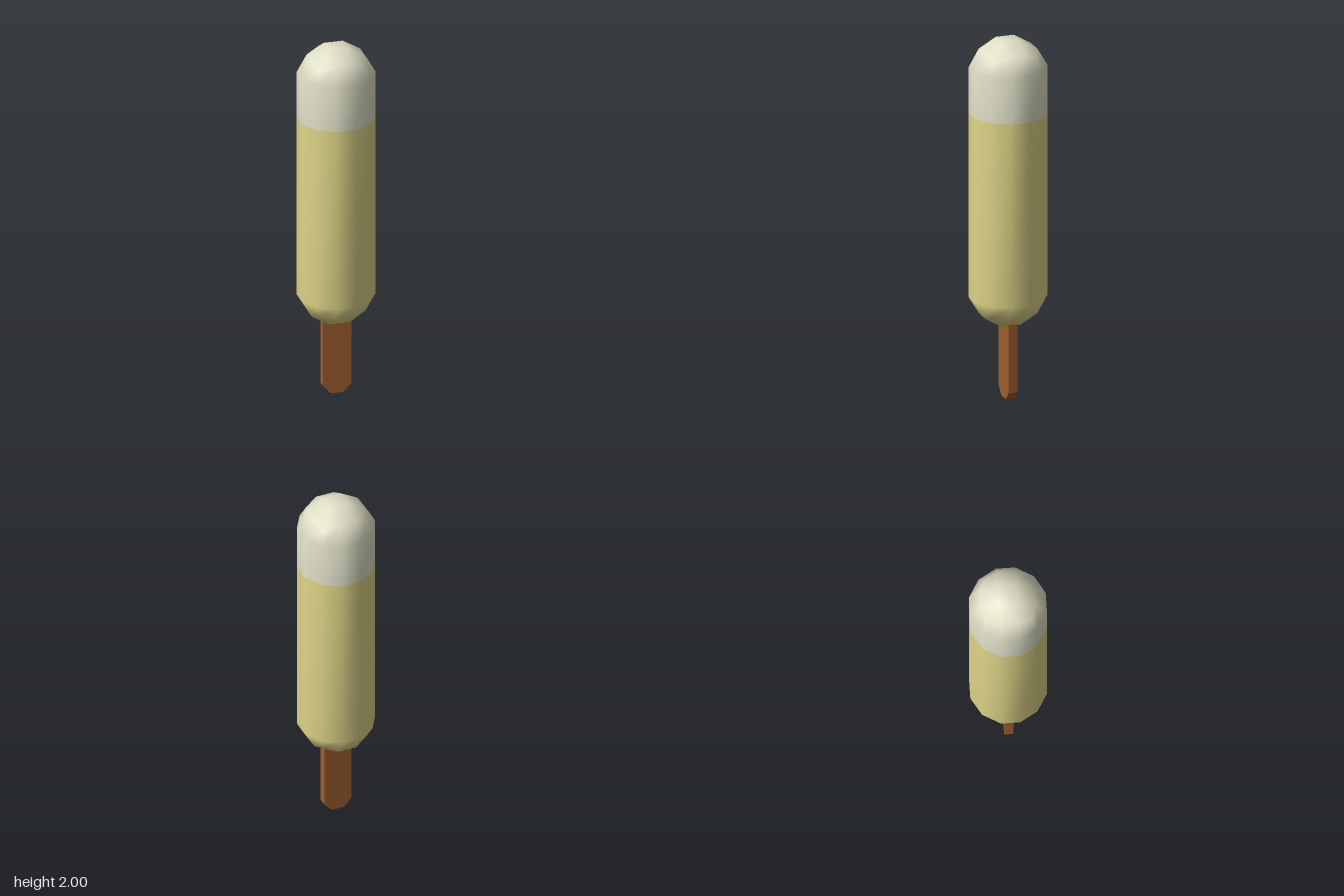
import * as THREE from 'three';
import { mergeVertices } from 'three/addons/utils/BufferGeometryUtils.js';

const mat = (name, color) => {
  const m = new THREE.MeshStandardMaterial({ color });
  m.name = name;
  return m;
};

const SPLIT = 1.59;        // height of the colour change
const TOP = 1.797;         // centre of the upper rounded end
const BOTTOM = 0.615;      // centre of the lower rounded end

// Twelve-sided bar with rounded quad-grid ends, made from a subdivided box
function barGeometry() {
  let geo = new THREE.BoxGeometry(2, 4, 2, 3, 4, 3);
  geo.deleteAttribute('normal');
  geo.deleteAttribute('uv');
  geo = mergeVertices(geo);
  const pos = geo.attributes.position;
  // distance from the axis by how many box faces the vertex lies on
  const outer = [0, 0.203, 0.147, 0.119];
  const inner = 0.051;
  for (let i = 0; i < pos.count; i++) {
    const p = [pos.getX(i), pos.getY(i), pos.getZ(i)];
    const far = [Math.abs(p[0]) > 0.9, Math.abs(p[1]) > 1.9, Math.abs(p[2]) > 0.9];
    const r = outer[far.filter(Boolean).length];
    const place = (k) => Math.sign(p[k]) * (far[k] ? r : inner);
    const y = Math.abs(p[1]) < 0.1 ? SPLIT : (p[1] > 0 ? TOP : BOTTOM) + place(1);
    pos.setXYZ(i, place(0), y, place(2));
  }
  geo.computeVertexNormals();

  // sort the triangles into the lower and upper colour
  const parts = [[], []];
  const idx = geo.index.array;
  for (let t = 0; t < idx.length; t += 3) {
    const tri = [idx[t], idx[t + 1], idx[t + 2]];
    const y = tri.reduce((sum, v) => sum + pos.getY(v) / 3, 0);
    parts[y > SPLIT ? 1 : 0].push(...tri);
  }
  geo.setIndex([...parts[0], ...parts[1]]);
  geo.clearGroups();
  geo.addGroup(0, parts[0].length, 0);
  geo.addGroup(parts[0].length, parts[1].length, 1);
  return geo;
}

// Flat stick with clipped lower corners, its upper end hidden in the bar
function stickGeometry() {
  const shape = new THREE.Shape(
    [[-0.035, 0], [0.035, 0], [0.078, 0.047], [0.078, 0.5], [-0.078, 0.5], [-0.078, 0.047]]
      .map(([x, y]) => new THREE.Vector2(x, y))
  );
  return new THREE.ExtrudeGeometry(shape, { depth: 0.05, bevelEnabled: false })
    .translate(0, 0, -0.025);
}

export function createModel() {
  const group = new THREE.Group();
  group.name = 'icePop';

  const bar = new THREE.Mesh(barGeometry(), [mat('yellow ice', 0xe0d789), mat('cream ice', 0xe0e0c8)]);
  bar.name = 'iceBar';

  const stick = new THREE.Mesh(stickGeometry(), mat('brown wood', 0x9e5f2f));
  stick.name = 'stick';

  group.add(bar, stick);
  return group;
}
